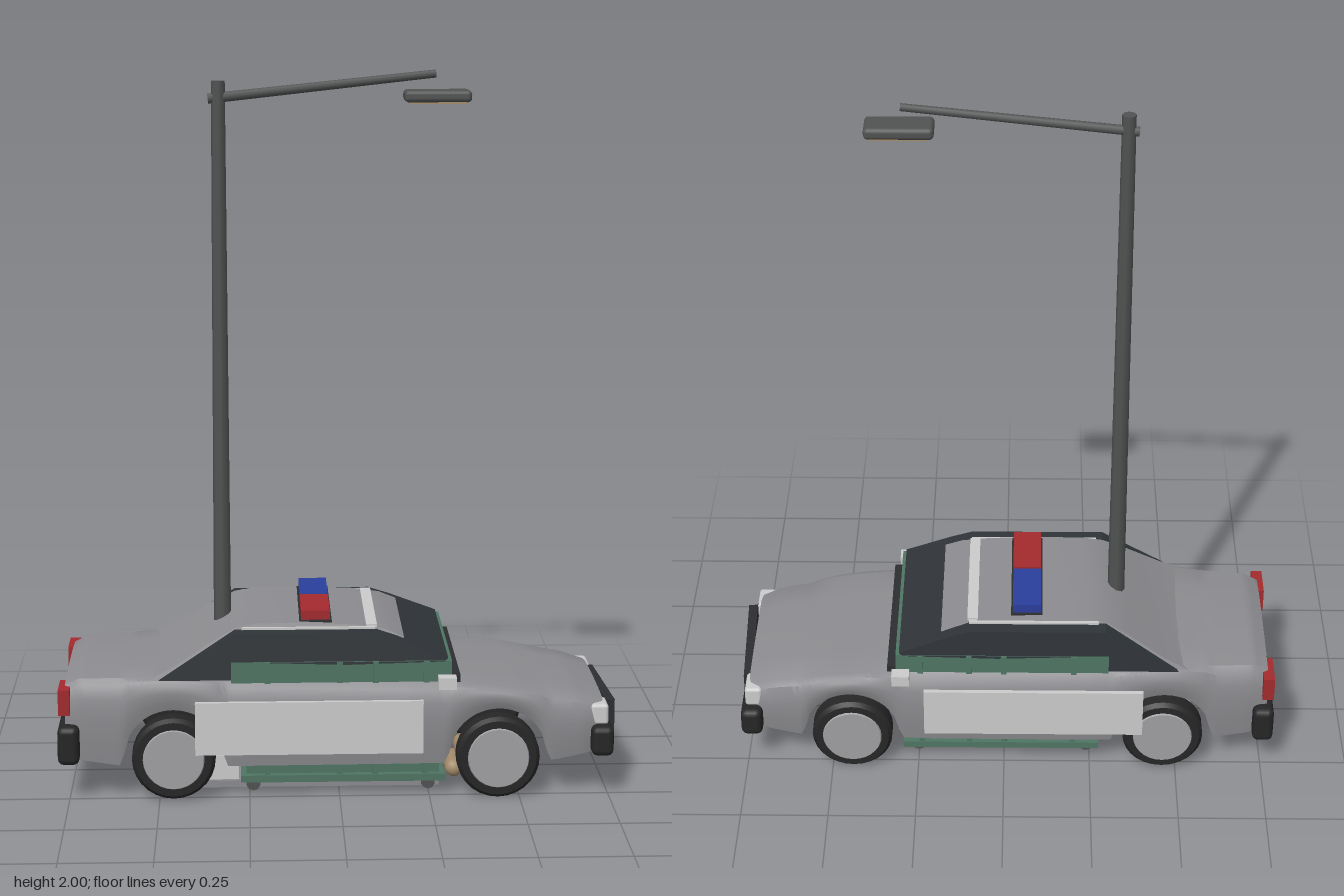
import * as THREE from 'three';
import { toCreasedNormals } from 'three/addons/utils/BufferGeometryUtils.js';
import { RoundedBoxGeometry } from 'three/addons/geometries/RoundedBoxGeometry.js';

const mat = (color, extra = {}) => new THREE.MeshStandardMaterial({ color, ...extra });
const M = {
  grey: mat(0xcccccc), paint: mat(0x8c8c90, { side: THREE.DoubleSide }), dark: mat(0x2c2e30), glass: mat(0x2f3438),
  rubber: mat(0x262626), metal: mat(0x505352), green: mat(0x4f7563), red: mat(0xa32a2e), blue: mat(0x2b3f9c),
  tan: mat(0xa58d6c), hub: mat(0xa0a0a2)
};

// Linear lookup in a list of [x, value] pairs
function lookup(table, x) {
  for (let i = 1; i < table.length; i++) {
    const [x0, a] = table[i - 1], [x1, b] = table[i];
    if (x <= x1) return a + (b - a) * Math.max(0, (x - x0) / (x1 - x0));
  }
  return table[table.length - 1][1];
}

const WHEELS = [[-0.46, 0.125], [0.44, 0.12]];
const TOP = [[-0.76, 0.33], [-0.72, 0.35], [-0.5, 0.355], [-0.3, 0.35], [0.3, 0.335], [0.5, 0.312], [0.66, 0.285], [0.74, 0.262]];
const HALF = [[-0.76, 0.248], [-0.7, 0.258], [-0.5, 0.274], [-0.25, 0.283], [0.2, 0.284], [0.5, 0.274], [0.68, 0.26], [0.74, 0.242]];
const BOTTOM = [[-0.76, 0.12], [-0.6, 0.1], [0.6, 0.105], [0.74, 0.13]];

// Body shell lofted along x, its lower edge lifted over the wheels
function bodyGeometry() {
  const section = [[0.96, 0], [0.985, 0.25], [1, 0.55], [0.985, 0.75], [0.95, 0.9], [0.88, 0.975], [0.5, 1.01], [0, 1.02]];
  const full = [...section, ...section.slice(0, -1).reverse().map(([z, t]) => [-z, t])];
  const n = 110, pos = [], idx = [];
  for (let i = -1; i <= n + 1; i++) {
    const x = -0.76 + 1.5 * Math.min(n, Math.max(0, i)) / n;
    const close = i < 0 || i > n ? 0 : 1;
    let low = lookup(BOTTOM, x);
    for (const [wx, wy] of WHEELS) {
      const d = 0.137 ** 2 - (x - wx) ** 2;
      if (d > 0) low = Math.max(low, wy + Math.sqrt(d));
    }
    const top = lookup(TOP, x), w = lookup(HALF, x);
    for (const [z, t] of full) pos.push(x, low + (top - low) * t, z * w * close);
  }
  const m = full.length;
  for (let i = 0; i < n + 2; i++) for (let j = 0; j < m - 1; j++) {
    const a = i * m + j, b = a + m;
    idx.push(a, b, a + 1, b, b + 1, a + 1);
  }
  const g = new THREE.BufferGeometry();
  g.setAttribute('position', new THREE.Float32BufferAttribute(pos, 3));
  g.setIndex(idx);
  return toCreasedNormals(g, 0.6);
}

// Side profile extruded across the car, narrowing from y0 to y1
function cabinGeometry(points, y0, w0, y1, w1) {
  const shape = new THREE.Shape(points.map(p => new THREE.Vector2(...p)));
  const g = new THREE.ExtrudeGeometry(shape, { depth: 2, bevelEnabled: false });
  const p = g.attributes.position;
  for (let i = 0; i < p.count; i++) {
    const w = THREE.MathUtils.mapLinear(p.getY(i), y0, y1, w0, w1);
    p.setZ(i, (p.getZ(i) - 1) * w);
  }
  g.computeVertexNormals();
  return toCreasedNormals(g, 0.4);
}

export function createModel() {
  const root = new THREE.Group();
  const add = (name, geo, material, x = 0, y = 0, z = 0) => {
    const mesh = new THREE.Mesh(geo, material);
    mesh.name = name;
    mesh.position.set(x, y, z);
    root.add(mesh);
    return mesh;
  };
  // Box given by its limits on each axis
  const box = (name, material, [x0, x1], [y0, y1], [z0, z1], r = 0) => {
    const s = [x1 - x0, y1 - y0, z1 - z0];
    const geo = r ? new RoundedBoxGeometry(...s, 2, r) : new THREE.BoxGeometry(...s);
    return add(name, geo, material, (x0 + x1) / 2, (y0 + y1) / 2, (z0 + z1) / 2);
  };
  // The same box on both sides of the car
  const pair = (name, material, x, y, [z0, z1], r) => {
    box(name + 'Left', material, x, y, [z0, z1], r);
    box(name + 'Right', material, x, y, [-z1, -z0], r);
  };

  add('body', bodyGeometry(), M.paint);

  // Cabin: dark sides and windscreen, grey roof running into the boot
  add('cabinSides', cabinGeometry([[-0.5, 0.345], [-0.3, 0.345], [-0.3, 0.395], [0.02, 0.385], [0.29, 0.392],
    [0.3, 0.402], [0.16, 0.455], [0.1, 0.474], [-0.29, 0.474]], 0.35, 0.262, 0.48, 0.25), M.glass);
  add('roof', cabinGeometry([[-0.54, 0.34], [-0.2, 0.34], [0.16, 0.43], [0.18, 0.45], [0.13, 0.472], [0.05, 0.484],
    [-0.1, 0.491], [-0.23, 0.489], [-0.29, 0.478], [-0.36, 0.44], [-0.46, 0.378]], 0.35, 0.252, 0.49, 0.2), M.paint);
  pair('roofRail', M.grey, [-0.27, 0.1], [0.465, 0.48], [0.2, 0.213]);
  box('roofStrip', M.grey, [0.075, 0.105], [0.465, 0.485], [-0.2, 0.2]);
  box('windscreenSill', M.dark, [0.3, 0.335], [0.33, 0.35], [-0.25, 0.25]);

  // Light bar
  box('lightBarBase', M.dark, [-0.11, -0.02], [0.48, 0.494], [-0.19, 0.19]);
  box('redLight', M.red, [-0.105, -0.025], [0.49, 0.52], [0.003, 0.183]);
  box('blueLight', M.blue, [-0.105, -0.025], [0.49, 0.52], [-0.183, -0.003]);

  // Green container inside the car, seen at the windows and below
  box('containerRim', M.green, [-0.3, 0.31], [0.335, 0.395], [-0.258, 0.258]);
  box('containerBase', M.green, [-0.26, 0.28], [0.055, 0.34], [-0.215, 0.215]);
  box('containerFlange', M.green, [-0.275, 0.295], [0.04, 0.06], [-0.235, 0.235]);
  for (const x of [-0.2, 0, 0.1, 0.24]) {
    pair('containerRib', M.green, [x - 0.008, x + 0.008], [0.335, 0.395], [0.25, 0.266]);
    pair('containerLowerRib', M.green, [x - 0.008, x + 0.008], [0.05, 0.14], [0.21, 0.232]);
  }
  for (const x of [-0.24, 0.25]) for (const z of [-0.19, 0.19]) {
    const foot = add('containerFoot', new THREE.CylinderGeometry(0.02, 0.02, 0.025, 10), M.metal, x, 0.026, z);
    foot.rotation.x = Math.PI / 2;
  }

  // Rubble under the car
  box('pavingSlab', M.paint, [-0.54, 0.28], [0.012, 0.032], [-0.13, 0.19]);
  box('rearBlock', M.grey, [-0.55, -0.28], [0.015, 0.1], [-0.12, 0.18]);
  for (let i = 0; i < 5; i++) {
    const bag = add('sandbag', new THREE.CapsuleGeometry(0.026, 0.09, 4, 10), M.tan,
      0.33 + 0.065 * (i % 3) + (i > 2 ? 0.03 : 0), i > 2 ? 0.08 : 0.035, 0.06);
    bag.rotation.x = Math.PI / 2;
  }
  for (const x of [-0.3, 0, 0.2]) {
    box('plank', M.tan, [x - 0.012, x + 0.012], [0.008, 0.03], [-0.1, 0.15]).rotation.y = 0.2;
  }

  // Wheels
  for (const [x, y] of WHEELS) for (const s of [-1, 1]) {
    const wheel = new THREE.Group();
    wheel.name = 'wheel';
    const profile = [[0, -0.034], [0.085, -0.034], [0.106, -0.034], [0.116, -0.022], [0.116, 0.022], [0.106, 0.034],
      [0.085, 0.034], [0, 0.034]].map(p => new THREE.Vector2(...p));
    const tyre = new THREE.Mesh(toCreasedNormals(new THREE.LatheGeometry(profile, 28), 0.5), M.rubber);
    tyre.name = 'tyre';
    const hub = new THREE.Mesh(new THREE.CylinderGeometry(0.083, 0.086, 0.006, 28), M.hub);
    hub.name = 'hubcap';
    hub.position.y = 0.036;
    wheel.add(tyre, hub);
    wheel.rotation.x = s * Math.PI / 2;
    wheel.position.set(x, y, s * 0.25);
    root.add(wheel);
  }

  // Doors, mirrors, lamps and bumpers
  pair('doorPanel', M.grey, [-0.4, 0.23], [0.14, 0.29], [0.282, 0.295]);
  pair('mirror', M.grey, [0.27, 0.32], [0.327, 0.36], [0.276, 0.315]);
  pair('mirrorArm', M.dark, [0.285, 0.3], [0.327, 0.345], [0.24, 0.28]);
  pair('tailLamp', M.red, [-0.777, -0.745], [0.25, 0.322], [0.165, 0.268]);
  pair('headlamp', M.grey, [0.7, 0.75], [0.2, 0.26], [0.165, 0.25], 0.01);
  box('rearBumper', M.rubber, [-0.78, -0.72], [0.11, 0.22], [-0.288, 0.288], 0.018);
  box('frontBumper', M.rubber, [0.7, 0.762], [0.12, 0.205], [-0.288, 0.288], 0.018);
  box('pushPlate', M.dark, [0.742, 0.768], [0.12, 0.252], [-0.174, 0.174]).rotation.y = 0.05;

  // Street lamp standing through the boot
  add('lampPost', new THREE.CylinderGeometry(0.019, 0.026, 1.94, 8), M.metal, -0.325, 1.0, 0);
  const arm = add('lampArm', new THREE.CylinderGeometry(0.011, 0.014, 0.63, 8), M.metal, -0.04, 1.955, 0);
  arm.rotation.z = -Math.PI / 2 + 0.107;
  box('lampHead', M.metal, [0.185, 0.37], [1.912, 1.945], [-0.045, 0.045], 0.012);
  box('lampLens', M.tan, [0.2, 0.355], [1.908, 1.916], [-0.035, 0.035]);

  return root;
}
